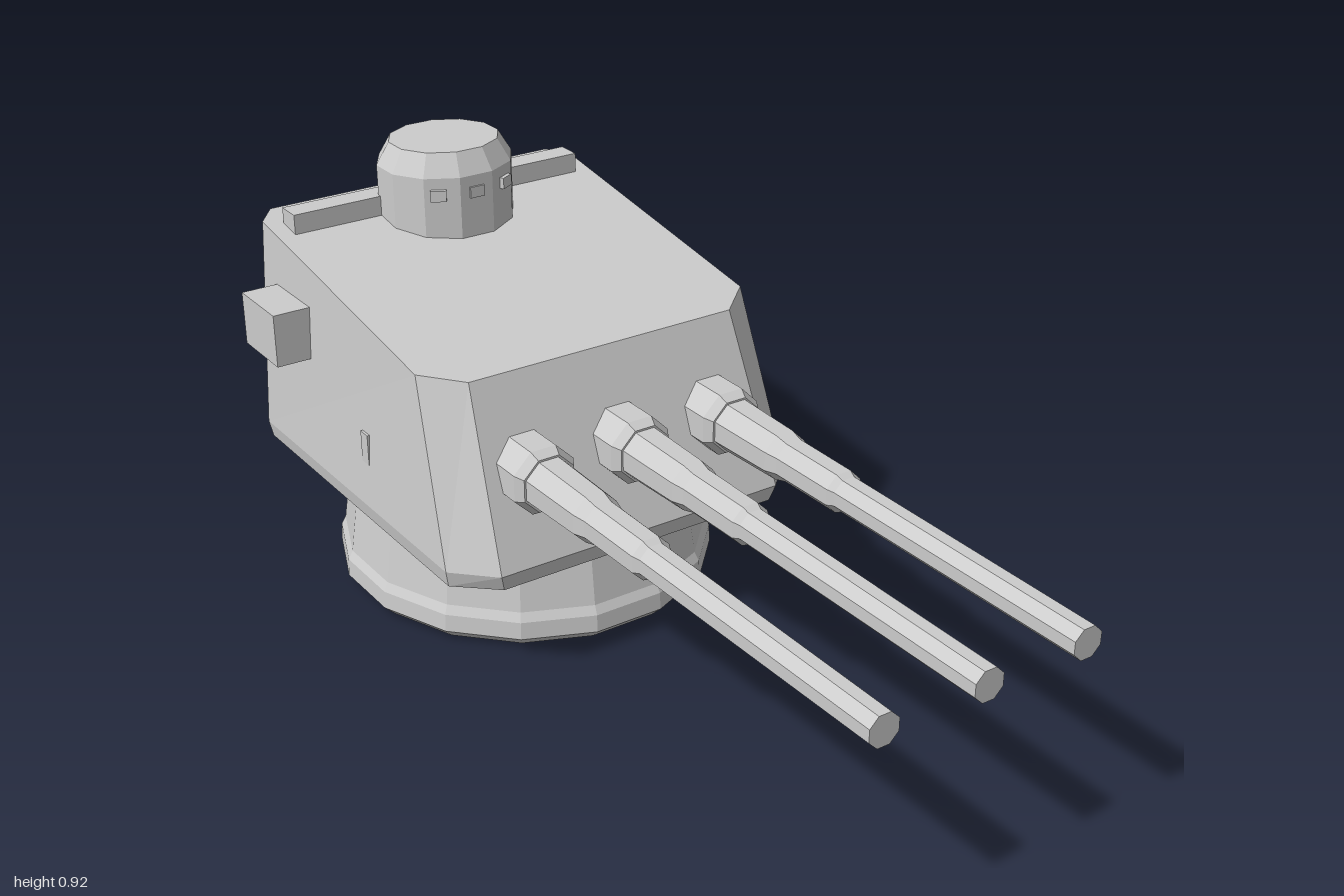
import * as THREE from 'three';

const steel = new THREE.MeshStandardMaterial({ color: 0xcccccc });
steel.name = 'lightSteelGrey';

// Faceted mesh with one normal per face
function flatMesh(name, geometry) {
  const g = geometry.index ? geometry.toNonIndexed() : geometry;
  g.computeVertexNormals();
  const mesh = new THREE.Mesh(g, steel);
  mesh.name = name;
  return mesh;
}

// Faceted solid of revolution; profile holds [radius to flat side, height]
function turned(sides, profile) {
  const k = 1 / Math.cos(Math.PI / sides);
  const points = profile.map(([r, y]) => new THREE.Vector2(r * k, y));
  return new THREE.LatheGeometry(points, sides, Math.PI / sides);
}

function box(name, w, h, d, x, y, z) {
  const mesh = flatMesh(name, new THREE.BoxGeometry(w, h, d));
  mesh.position.set(x, y, z);
  return mesh;
}

// Armoured house: three eight-cornered rings, the top one on a sloping roof plane
function houseGeometry() {
  const ring = (front, side, back, zFront, zSide, zRear, zBack, yAt) =>
    [[front, zFront], [side, zSide], [side, zRear], [back, zBack],
      [-back, zBack], [-side, zRear], [-side, zSide], [-front, zFront]]
      .map(([x, z]) => [x, yAt(z), z]);
  const rings = [
    ring(0.335, 0.42, 0.37, -0.038, -0.115, -0.935, -0.988, () => 0.24),
    ring(0.345, 0.427, 0.377, -0.028, -0.11, -0.94, -1.0, () => 0.277),
    ring(0.32, 0.401, 0.36, -0.175, -0.245, -0.93, -0.976, (z) => 0.645 + 0.157 * (-0.175 - z)),
  ];
  const positions = [];
  const tri = (a, b, c) => positions.push(...a, ...b, ...c);
  for (let i = 0; i < 2; i++) {
    for (let j = 0; j < 8; j++) {
      const n = (j + 1) % 8;
      tri(rings[i][j], rings[i][n], rings[i + 1][n]);
      tri(rings[i][j], rings[i + 1][n], rings[i + 1][j]);
    }
  }
  for (let j = 1; j < 7; j++) {
    tri(rings[2][0], rings[2][j], rings[2][j + 1]);
    tri(rings[0][0], rings[0][j + 1], rings[0][j]);
  }
  const g = new THREE.BufferGeometry();
  g.setAttribute('position', new THREE.Float32BufferAttribute(positions, 3));
  return g;
}

export function createModel() {
  const turret = new THREE.Group();
  turret.name = 'gunTurret';

  // Round pedestal with a flared foot
  const base = turned(16, [[0, 0], [0.387, 0], [0.412, 0.025], [0.41, 0.065],
    [0.4, 0.085], [0.377, 0.25], [0, 0.25]]);
  base.scale(1, 1, 1.045);
  base.translate(0, 0, -0.517);
  turret.add(flatMesh('pedestal', base));

  turret.add(flatMesh('armouredHouse', houseGeometry()));

  // Three guns, each a mantlet collar and a stepped barrel
  for (const x of [-0.23, 0, 0.23]) {
    const gun = new THREE.Group();
    gun.name = 'gun';
    const collar = turned(8, [[0, -0.2], [0.07, -0.2], [0.07, -0.045], [0.058, -0.025], [0, -0.025]]);
    const barrel = turned(8, [[0, -0.03], [0.054, -0.03], [0.05, 0.14], [0.043, 0.17],
      [0.042, 0.33], [0.035, 0.345], [0.032, 1], [0, 1]]);
    gun.add(flatMesh('mantlet', collar.rotateX(Math.PI / 2)));
    gun.add(flatMesh('barrel', barrel.rotateX(Math.PI / 2)));
    gun.position.set(x, 0.457, 0);
    turret.add(gun);
  }

  // Commander's cupola with vision blocks
  const cupola = turned(12, [[0, 0.68], [0.151, 0.68], [0.151, 0.865], [0.122, 0.915], [0, 0.915]]);
  cupola.scale(1, 1, 0.93);
  cupola.translate(0, 0, -0.82);
  turret.add(flatMesh('cupola', cupola));
  for (const angle of [-Math.PI / 6, 0, Math.PI / 6]) {
    const block = box('visionBlock', 0.035, 0.025, 0.03,
      0.16 * Math.sin(angle), 0.827, -0.82 + 0.13 * Math.cos(angle));
    block.rotation.y = angle;
    turret.add(block);
  }

  // Rangefinder bar across the roof
  turret.add(box('rangefinderBar', 0.725, 0.055, 0.058, 0, 0.768, -0.876));

  // Side sight boxes and small grab handles
  for (const side of [-1, 1]) {
    turret.add(box('sightBox', 0.11, 0.12, 0.158, side * 0.436, 0.578, -0.788));
    turret.add(box('grabHandle', 0.02, 0.07, 0.03, side * 0.411, 0.41, -0.455));
  }
  return turret;
}
